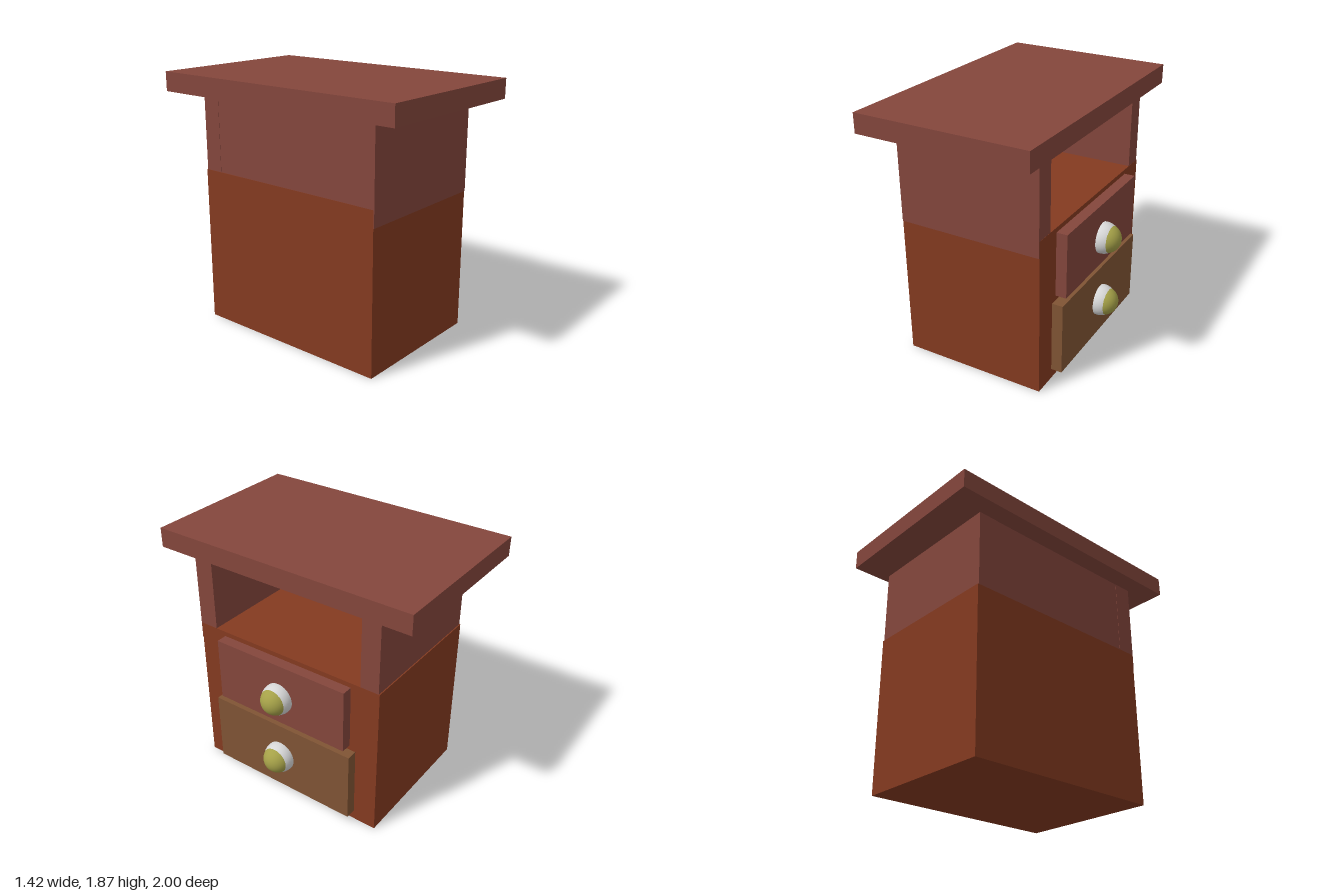
import * as THREE from 'three';

const material = (name, color) => {
  const m = new THREE.MeshStandardMaterial({ color });
  m.name = name;
  return m;
};

export function createModel() {
  const model = new THREE.Group();
  model.name = 'nightstand';

  const redwood = material('redwood', 0x84463c);
  const rust = material('rust brown', 0x843a20);
  const tan = material('tan wood', 0x805434);
  const white = material('white', 0xd6d6d6);
  const olive = material('olive yellow', 0xa5a148);

  // Box given by its extents along each axis
  function box(name, mat, [x0, x1], [y0, y1], [z0, z1]) {
    const mesh = new THREE.Mesh(new THREE.BoxGeometry(x1 - x0, y1 - y0, z1 - z0), mat);
    mesh.position.set((x0 + x1) / 2, (y0 + y1) / 2, (z0 + z1) / 2);
    mesh.name = name;
    model.add(mesh);
    return mesh;
  }

  // Lower cabinet
  box('cabinet', rust, [-0.583, 0.485], [0, 1.16], [-0.76, 0.76]);

  // Walls of the open shelf; the left one overlaps the cabinet side
  box('shelfSideLeft', redwood, [-0.582, 0.484], [1.04, 1.73], [0.62, 0.765]);
  box('shelfSideRight', redwood, [-0.582, 0.484], [1.1, 1.73], [-0.752, -0.612]);
  box('shelfBack', redwood, [-0.58, -0.46], [1.1, 1.73], [-0.63, 0.63]);

  // Overhanging top, very slightly tilted
  const top = box('tabletop', redwood, [-0.715, 0.555], [1.72, 1.861], [-1, 1]);
  top.rotation.set(-0.0022, 0, -0.004);

  // Drawers
  box('upperDrawer', redwood, [0.45, 0.565], [0.65, 1.125], [-0.54, 0.54]);
  box('lowerDrawer', tan, [0.45, 0.565], [0.075, 0.612], [-0.587, 0.587]);

  // Two-tone round knobs
  for (const [name, y] of [['upperKnob', 0.862], ['lowerKnob', 0.348]]) {
    const knob = new THREE.Group();
    knob.name = name;
    for (const [part, mat, x, r] of [['knobBase', white, 0.578, 0.115], ['knobCap', olive, 0.601, 0.105]]) {
      const ball = new THREE.Mesh(new THREE.SphereGeometry(r, 32, 24), mat);
      ball.position.set(x, y, 0);
      ball.name = part;
      knob.add(ball);
    }
    model.add(knob);
  }

  return model;
}
